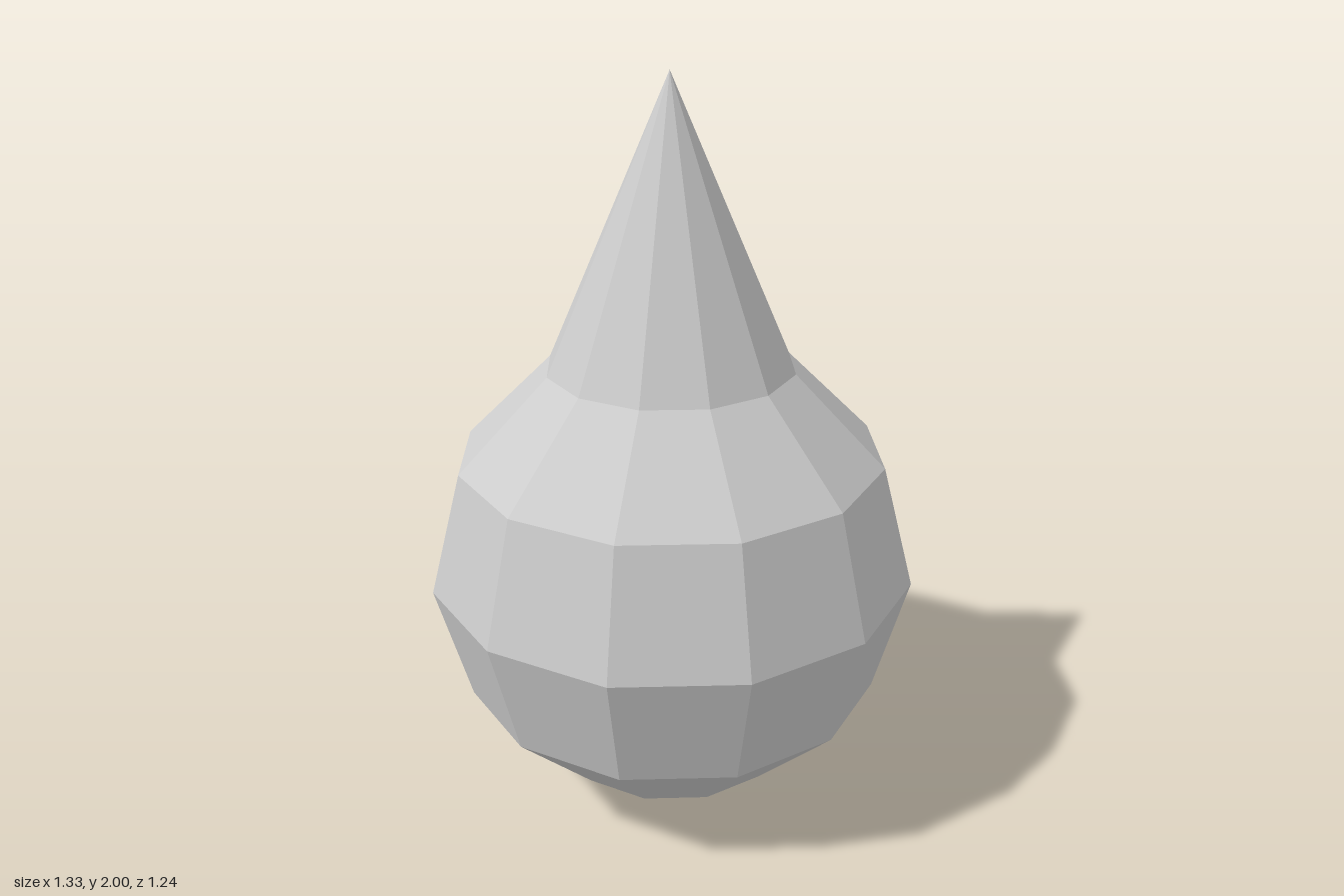
import * as THREE from 'three';

const RADIUS = 0.6667;

export function createModel() {
  const model = new THREE.Group();
  model.name = 'teardrop';

  const grey = new THREE.MeshStandardMaterial({ color: 0xcccccc });
  grey.name = 'light grey';

  // Faceted ball whose top pole is drawn up into a spike and whose back is dented
  const ball = new THREE.SphereGeometry(RADIUS, 12, 6);
  const pos = ball.attributes.position;
  const back = new THREE.Vector3(0, 0, -RADIUS);
  const p = new THREE.Vector3();
  for (let i = 0; i < pos.count; i++) {
    p.fromBufferAttribute(pos, i);
    if (p.y > RADIUS * 0.99) pos.setXYZ(i, 0, 2 - RADIUS, 0);
    else if (p.distanceTo(back) < 0.01) pos.setXYZ(i, 0.276, 0.848 - RADIUS, -0.412);
  }

  // Separate faces give flat facets
  const faceted = ball.toNonIndexed();
  faceted.computeVertexNormals();

  const drop = new THREE.Mesh(faceted, grey);
  drop.name = 'drop body';
  drop.position.set(0, RADIUS, -0.0447);
  model.add(drop);
  return model;
}
